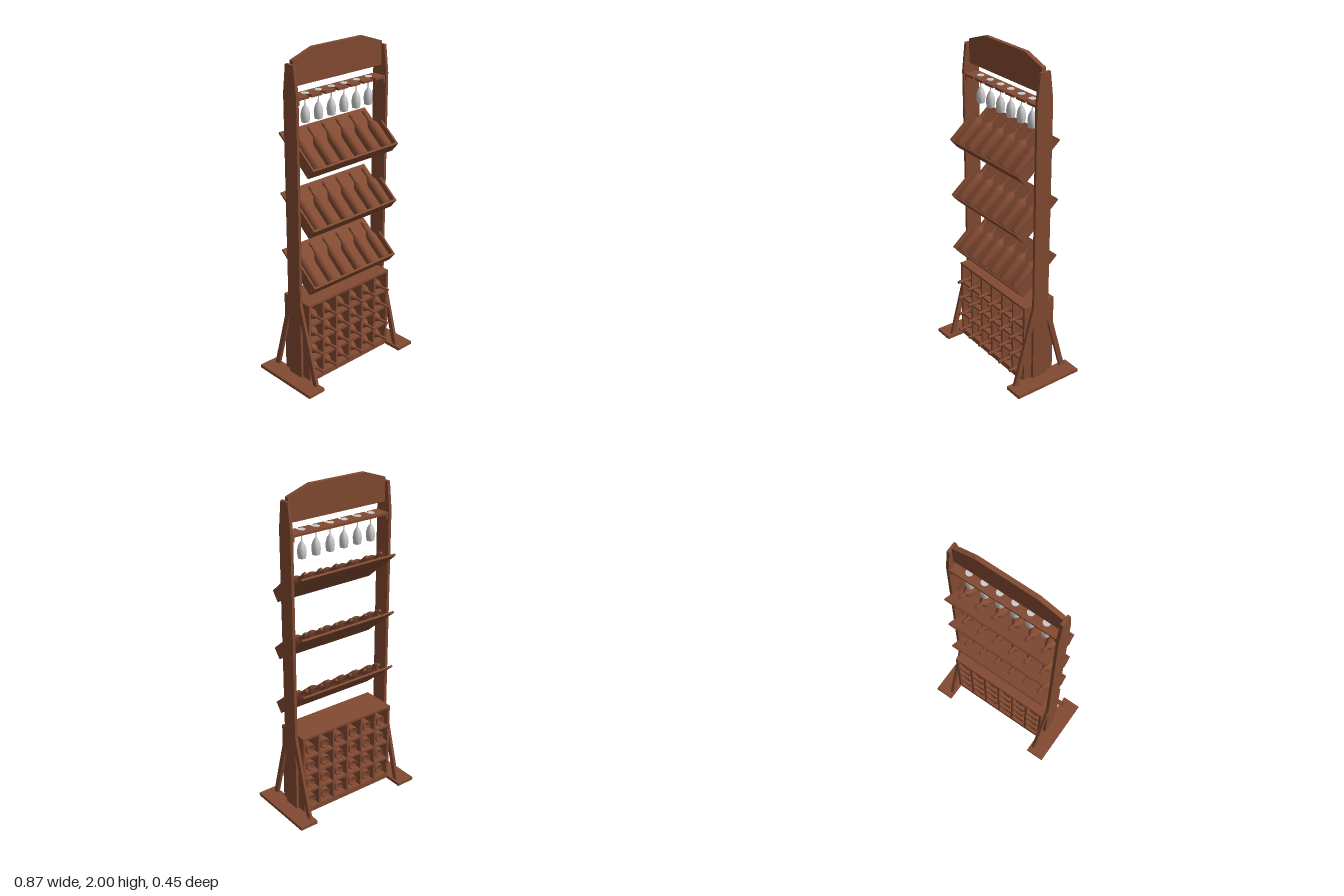
import * as THREE from 'three';
import { toCreasedNormals } from 'three/addons/utils/BufferGeometryUtils.js';

const wood = new THREE.MeshStandardMaterial({ color: 0x824a32 });
const glassMat = new THREE.MeshStandardMaterial({ color: 0xcccccc, side: THREE.DoubleSide });

function add(parent, name, geometry, x = 0, y = 0, z = 0, material = wood) {
  const mesh = new THREE.Mesh(geometry, material);
  mesh.name = name;
  mesh.position.set(x, y, z);
  parent.add(mesh);
  return mesh;
}

// Box given by its minimum and maximum corners
function box(parent, name, [x0, y0, z0], [x1, y1, z1]) {
  return add(parent, name, new THREE.BoxGeometry(x1 - x0, y1 - y0, z1 - z0),
    (x0 + x1) / 2, (y0 + y1) / 2, (z0 + z1) / 2);
}

function extrude(points, depth) {
  const shape = new THREE.Shape(points.map(([a, b]) => new THREE.Vector2(a, b)));
  return new THREE.ExtrudeGeometry(shape, { depth, bevelEnabled: false });
}

// Plate with its outline in (z, y), extruded along x and centred on x = 0
function sidePlate(points, depth) {
  return extrude(points.map(([z, y]) => [-z, y]), depth)
    .translate(0, 0, -depth / 2).rotateY(Math.PI / 2);
}

function lathe(points, sides) {
  const profile = points.map(([r, y]) => new THREE.Vector2(r, y));
  return toCreasedNormals(new THREE.LatheGeometry(profile, sides), 0.6);
}

const bottleGeometry = lathe([
  [0, 0.008], [0.022, 0.004], [0.027, 0], [0.031, 0.003], [0.032, 0.008], [0.032, 0.15],
  [0.03, 0.163], [0.025, 0.175], [0.017, 0.187], [0.011, 0.198], [0.009, 0.21],
  [0.009, 0.242], [0.011, 0.243], [0.011, 0.25], [0.0095, 0.251], [0.0095, 0.264], [0, 0.264],
], 24);

// Upside-down wine glass: rim at y = 0, foot at the top
const glassGeometry = lathe([
  [0.022, 0], [0.025, 0.02], [0.026, 0.036], [0.024, 0.056], [0.018, 0.076], [0.009, 0.09],
  [0.004, 0.098], [0.003, 0.11], [0.003, 0.15], [0.006, 0.156], [0.021, 0.161], [0.021, 0.164], [0, 0.164],
], 24);

const columns = [-2.5, -1.5, -0.5, 0.5, 1.5, 2.5];

// Feet, posts and braces, mirrored
function addSide(root, side) {
  const g = new THREE.Group();
  g.name = side > 0 ? 'leftSide' : 'rightSide';
  root.add(g);
  add(g, 'foot', new THREE.BoxGeometry(0.118, 0.02, 0.45), side * 0.376, 0.01, 0);
  add(g, 'post', sidePlate([
    [-0.052, 0.02], [0.052, 0.02], [0.052, 1.77], [0.032, 1.93], [-0.032, 1.93], [-0.052, 1.77],
  ], 0.018), side * 0.338);
  for (const s of [1, -1]) {
    const outline = [[0.158, 0.02], [0.19, 0.02], [0.052, 0.52], [0.052, 0.4]];
    const points = outline.map(([z, y]) => [s * z, y]);
    add(g, s > 0 ? 'frontBrace' : 'backBrace', sidePlate(points, 0.018), side * 0.338);
  }
}

// Open pigeonhole cabinet with lying bottles
function addCabinet(root) {
  const g = new THREE.Group();
  g.name = 'cabinet';
  root.add(g);
  const d = 0.108;
  box(g, 'cabinetFloor', [-0.329, 0.002, -d], [0.329, 0.036, d]);
  for (const y of [0.151, 0.272, 0.389, 0.522])
    box(g, 'cabinetShelf', [-0.329, y - 0.007, -d], [0.329, y + 0.007, d]);
  for (let i = 0; i <= 6; i++) {
    const x = (i - 3) * 0.1065;
    box(g, 'cabinetDivider', [x - 0.007, 0.02, -d + 0.001], [x + 0.007, 0.522, d - 0.001]);
  }
  for (const s of [-1, 1])
    add(g, 'cabinetSide', new THREE.BoxGeometry(0.012, 0.527, 2 * d), s * 0.323, 0.2655, 0);
  for (const y of [0.08, 0.199, 0.317, 0.434])
    for (const c of columns)
      add(g, 'lyingBottle', bottleGeometry, c * 0.1065, y, -0.095).rotation.x = Math.PI / 2;
}

// Tilted display tray; local y runs up the back panel, local z away from it
function addRack(root, y) {
  const g = new THREE.Group();
  g.name = 'displayRack';
  g.position.set(0, y, 0.116);
  g.rotation.x = -THREE.MathUtils.degToRad(50);
  root.add(g);
  box(g, 'rackPanel', [-0.328, 0, 0], [0.328, 0.312, 0.012]);
  box(g, 'rackLip', [-0.328, 0, 0.012], [0.328, 0.012, 0.072]);
  for (const s of [-1, 1])
    add(g, 'rackSide', new THREE.BoxGeometry(0.012, 0.16, 0.06), s * 0.322, 0.092, 0.042);
  for (const c of columns)
    add(g, 'displayBottle', bottleGeometry, c * 0.1065, 0.012, 0.045);
}

// Slotted rail with hanging glasses
function addGlassRail(root) {
  const g = new THREE.Group();
  g.name = 'glassRail';
  root.add(g);
  const step = 0.0955, r = 0.01, front = -0.046;
  const shape = new THREE.Shape();
  shape.moveTo(-0.33, 0.046);
  shape.lineTo(-0.33, front);
  for (const c of columns) {
    const x = c * step;
    shape.lineTo(x - r, front);
    shape.lineTo(x - r, 0);
    shape.absarc(x, 0, r, Math.PI, 0, true);
    shape.lineTo(x + r, front);
  }
  shape.lineTo(0.33, front);
  shape.lineTo(0.33, 0.046);
  const rail = new THREE.ExtrudeGeometry(shape, { depth: 0.014, bevelEnabled: false, curveSegments: 8 });
  add(g, 'rail', rail.rotateX(-Math.PI / 2), 0, 1.739, 0);
  for (const s of [-1, 1])
    add(g, 'railBracket', new THREE.BoxGeometry(0.012, 0.028, 0.09), s * 0.323, 1.726, 0);
  for (const c of columns)
    add(g, 'wineGlass', glassGeometry, c * step, 1.595, 0, glassMat);
}

export function createModel() {
  const root = new THREE.Group();
  root.name = 'wineStand';
  for (const side of [1, -1]) addSide(root, side);
  addCabinet(root);
  for (let i = 0; i < 3; i++) addRack(root, 0.605 + i * 0.357);
  addGlassRail(root);
  // Header board with sloped corners
  add(root, 'header', extrude([
    [-0.33, 1.81], [0.33, 1.81], [0.33, 1.95], [0.185, 2], [-0.185, 2], [-0.33, 1.95],
  ], 0.026), 0, 0, -0.013);
  return root;
}
